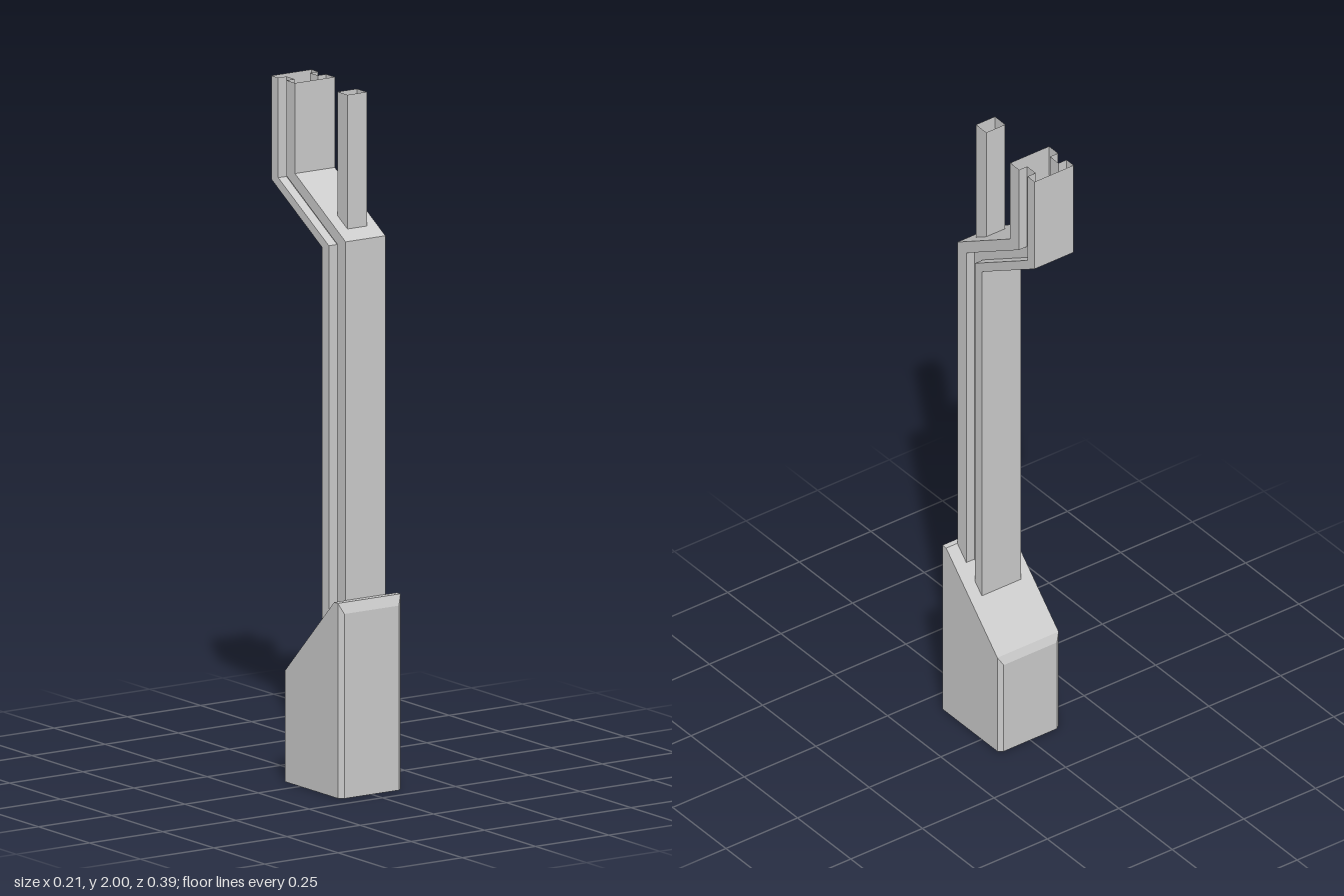
import * as THREE from 'three';
import { mergeGeometries } from 'three/addons/utils/BufferGeometryUtils.js';

const material = new THREE.MeshStandardMaterial({
  color: 0xcccccc, flatShading: true, side: THREE.DoubleSide,
});

// Walls between stacked rings of [x, y, z]; rings run counter-clockwise seen from above.
function walls(rings, skip = () => false) {
  const pos = [];
  for (let i = 0; i < rings.length - 1; i++) {
    const lo = rings[i], hi = rings[i + 1];
    lo.forEach((a, j) => {
      if (skip(i, j)) return;
      const k = (j + 1) % lo.length;
      pos.push(...a, ...lo[k], ...hi[k], ...a, ...hi[k], ...hi[j]);
    });
  }
  const g = new THREE.BufferGeometry();
  g.setAttribute('position', new THREE.Float32BufferAttribute(pos, 3));
  g.computeVertexNormals();
  return g;
}

// Flat panel drawn in plan as [x, z], tilted by a height rule y(z).
function panel(plan, yOf, hole) {
  const toPts = (p) => p.map(([x, z]) => new THREE.Vector2(x, -z));
  const shape = new THREE.Shape(toPts(plan));
  if (hole) shape.holes.push(new THREE.Path(toPts(hole)));
  let g = new THREE.ShapeGeometry(shape).rotateX(-Math.PI / 2);
  const p = g.attributes.position;
  for (let i = 0; i < p.count; i++) p.setY(i, yOf(p.getZ(i)));
  g = g.toNonIndexed();
  g.deleteAttribute('uv');
  g.computeVertexNormals();
  return g;
}

const line = (z0, y0, z1, y1) => (z) => y0 + ((z - z0) * (y1 - y0)) / (z1 - z0);
const ring = (plan, yOf, dz = 0) => plan.map(([x, z]) => [x, yOf(z + dz), z + dz]);
const rect = (w, back, front) => [[-w, front], [w, front], [w, back], [-w, back]];

export function createModel() {
  const group = new THREE.Group();
  const add = (name, parts) => {
    const mesh = new THREE.Mesh(mergeGeometries(parts), material);
    mesh.name = name;
    group.add(mesh);
  };

  // Shared sizes
  const W = 0.068, G = 0.04, front = 0.167, back = 0.052, shift = -0.248;
  const beam = [
    [-W, front], [W, front], [W, 0.125], [G, 0.125], [G, 0.085], [W, 0.085],
    [W, back], [-W, back], [-W, 0.085], [-G, 0.085], [-G, 0.125], [-W, 0.125],
  ];
  const baseSlope = line(front, 0.56, -0.073, 0.32);
  const frontBevel = line(0.185, 0.56, 0.197, 0.53);
  const backBevel = line(-0.073, 0.32, -0.084, 0.295);
  const ramp = line(front, 1.59, front + shift, 1.74);

  // Hollow base, open below, with bevelled corners and a sloping top around the beam
  const B = 0.107, C = 0.093;
  const plan = [
    [-C, 0.197], [C, 0.197], [B, 0.185], [B, front], [B, -0.073], [C, -0.084],
    [-C, -0.084], [-B, -0.073], [-B, front], [-B, 0.185],
  ];
  const baseTop = (z) =>
    z > 0.185 ? frontBevel(z) : z > front ? 0.56 : z >= -0.073 ? baseSlope(z) : backBevel(z);
  add('base', [
    walls([ring(plan, () => 0), ring(plan, baseTop)]),
    panel([[-C, 0.197], [C, 0.197], [B, 0.185], [-B, 0.185]], frontBevel),
    panel(rect(B, front, 0.185), () => 0.56),
    panel([[-B, -0.073], [B, -0.073], [B, front], ...beam.slice(1), beam[0], [-B, front]], baseSlope),
    panel([[-B, -0.073], [B, -0.073], [C, -0.084], [-C, -0.084]], backBevel),
  ]);

  // Hollow beam with side grooves: upright, cranked backwards, upright again, open on top
  const postPlan = rect(0.033, 0.078, 0.126);
  add('crankedBeam', [
    walls([
      ring(beam, baseSlope),
      ring(beam, line(front, 1.59, back, 1.553)),
      ring(beam, line(front + shift, 1.74, back + shift, 1.702), shift),
      ring(beam, () => 2, shift),
    ], (i, j) => i === 1 && j === 0),
    panel(rect(W, front + shift, front), ramp, postPlan),
  ]);

  // Hollow post rising from the ramp of the beam
  add('post', [walls([ring(postPlan, ramp), ring(postPlan, () => 2)])]);

  return group;
}
